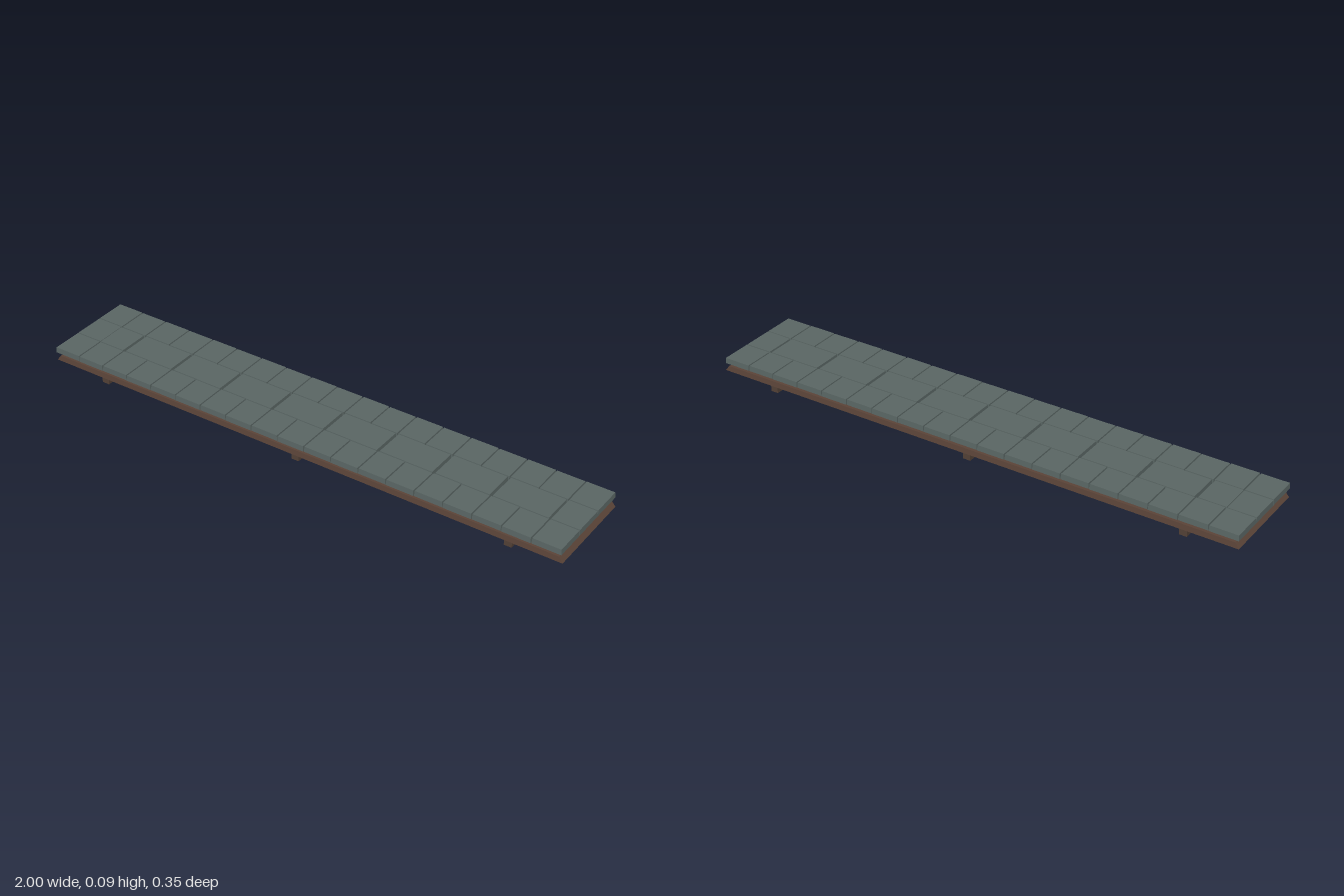
import * as THREE from 'three';

const slate = new THREE.MeshStandardMaterial({ color: 0x5a6664 });
slate.name = 'slate';
const wood = new THREE.MeshStandardMaterial({ color: 0x5b4438 });
wood.name = 'deckWood';
const darkWood = new THREE.MeshStandardMaterial({ color: 0x544237 });
darkWood.name = 'beamWood';

// Box whose top face is drawn in by insetX and insetZ on each side
function taperedBox(w, h, d, insetX, insetZ) {
  const geo = new THREE.BoxGeometry(w, h, d);
  const p = geo.attributes.position;
  for (let i = 0; i < p.count; i++) {
    if (p.getY(i) > 0) {
      p.setX(i, p.getX(i) - Math.sign(p.getX(i)) * insetX);
      p.setZ(i, p.getZ(i) - Math.sign(p.getZ(i)) * insetZ);
    }
  }
  geo.computeVertexNormals();
  return geo;
}

function add(parent, name, geo, mat, x, y, z) {
  const mesh = new THREE.Mesh(geo, mat);
  mesh.name = name;
  mesh.position.set(x, y, z);
  parent.add(mesh);
  return mesh;
}

export function createModel() {
  const group = new THREE.Group();
  group.name = 'walkway';

  // Cross beams under the deck
  for (const x of [-0.8, 0, 0.8]) {
    add(group, 'crossBeam', new THREE.BoxGeometry(0.028, 0.031, 0.306), darkWood, x, 0.0155, 0);
  }

  // Deck board with sloping edges
  add(group, 'deck', taperedBox(1.998, 0.019, 0.344, 0.014, 0.0025), wood, 0, 0.0445, 0);

  // Paving: 19 columns of three slabs, floating just above the deck
  const paving = new THREE.Group();
  paving.name = 'paving';
  group.add(paving);
  const columns = 19, pitch = 1.995 / columns, rowPitch = 0.1175;
  const slab = taperedBox(pitch - 0.002, 0.02, rowPitch - 0.0015, 0.0015, 0.0015);
  for (let c = 0; c < columns; c++) {
    for (let r = -1; r <= 1; r++) {
      const shiftX = r === 0 && c > 0 && c < columns - 1 ? (c % 2 ? -0.003 : 0.003) : 0;
      const shiftZ = c % 2 ? 0.0005 : -0.0005;
      add(paving, 'slab', slab, slate, -1 + (c + 0.5) * pitch + shiftX, 0.0765, r * rowPitch + shiftZ);
    }
  }
  return group;
}
